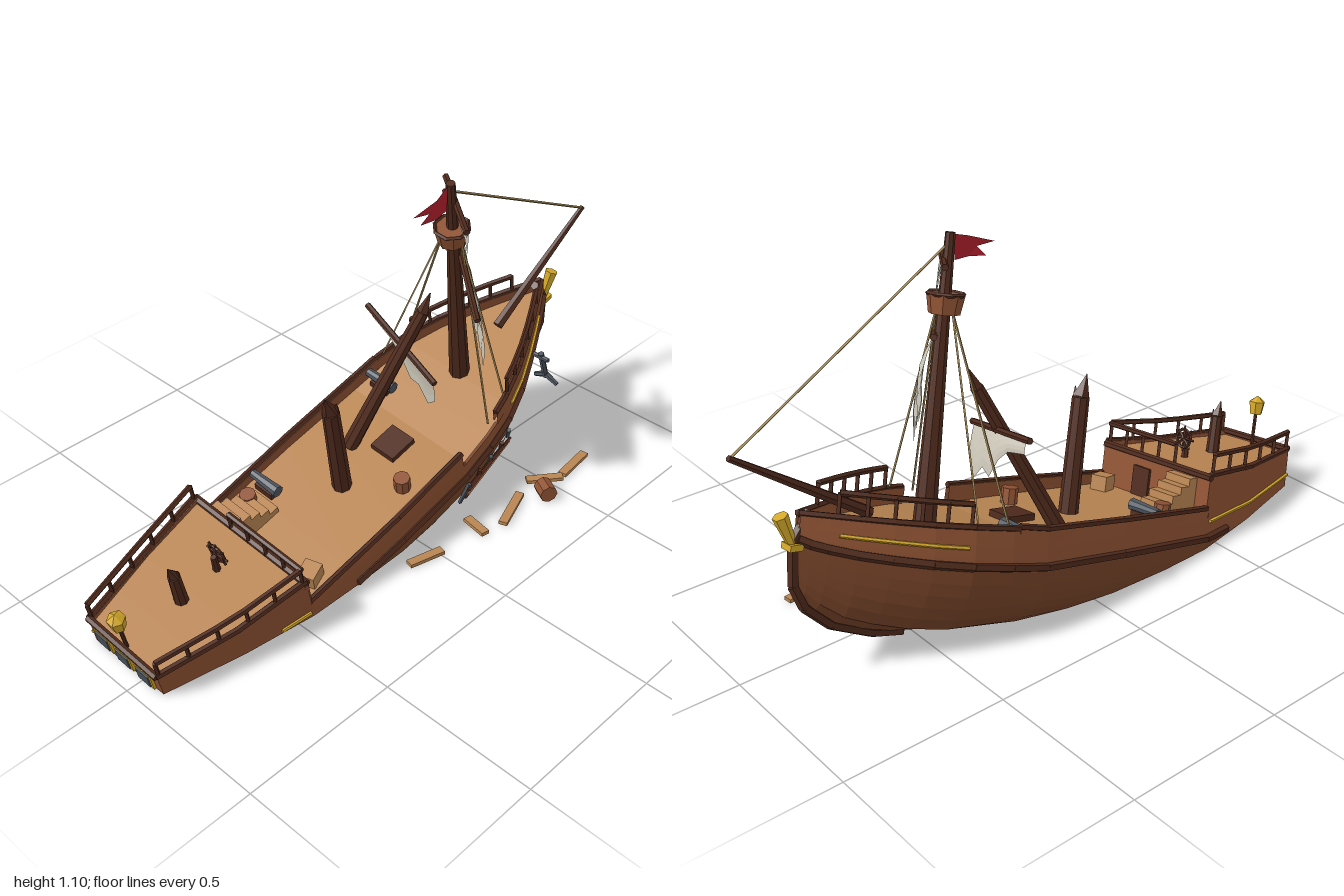
import * as THREE from 'three';

const C = { hull: 0x8f5233, low: 0x764328, dark: 0x4f2a1c, deck: 0xb98552, sail: 0xcfcabb, gold: 0xd4a82a, iron: 0x4c545e, red: 0xb3202e, rope: 0xa88d58 };
const PITCH = 0.245, ROLL = 0.132, ORIGIN = [-0.1, 0.15, -0.074];
const V = (p) => new THREE.Vector3(...p);

const mat = (color) => new THREE.MeshStandardMaterial({ color, flatShading: true, side: THREE.DoubleSide });
function add(parent, name, geo, color, pos = [0, 0, 0], rot = [0, 0, 0]) {
  const m = new THREE.Mesh(geo, mat(color));
  m.name = name;
  m.position.set(...pos);
  m.rotation.set(...rot);
  parent.add(m);
  return m;
}
const box = (parent, name, size, pos, color, rot) => add(parent, name, new THREE.BoxGeometry(...size), color, pos, rot);

// tapered round bar from a to b
function bar(parent, name, a, b, r0, color, r1 = r0, sides = 6) {
  const d = V(b).sub(V(a)), m = add(parent, name, new THREE.CylinderGeometry(r1, r0, d.length(), sides), color);
  m.position.copy(V(a).addScaledVector(d, 0.5));
  m.quaternion.setFromUnitVectors(new THREE.Vector3(0, 1, 0), d.normalize());
}
function path(parent, name, pts, r, color) {
  for (let i = 1; i < pts.length; i++) bar(parent, name, pts[i - 1], pts[i], r, color, r, 5);
}
// surface through rows of points of equal length
function loft(rows, closed = false) {
  const n = rows[0].length, idx = [];
  for (let i = 0; i + 1 < rows.length; i++)
    for (let j = 0; j < (closed ? n : n - 1); j++) {
      const k = (j + 1) % n, a = i * n + j, b = i * n + k;
      idx.push(a, b, a + n, b, b + n, a + n);
    }
  const g = new THREE.BufferGeometry();
  g.setAttribute('position', new THREE.Float32BufferAttribute(rows.flat(2), 3));
  g.setIndex(idx);
  g.computeVertexNormals();
  return g;
}
function curve(table) {
  return (x) => {
    let i = 1;
    while (i < table.length - 1 && x > table[i][0]) i++;
    const [x0, y0] = table[i - 1], [x1, y1] = table[i];
    return y0 + (y1 - y0) * THREE.MathUtils.clamp((x - x0) / (x1 - x0), 0, 1);
  };
}

// hull lines in the ship's own frame: half width, keel and deck height, fullness of the section
const width = curve([[-0.85, 0.147], [-0.6, 0.202], [-0.37, 0.236], [0, 0.244], [0.3, 0.241], [0.5, 0.225], [0.65, 0.175], [0.78, 0.115], [0.88, 0.06], [0.97, 0.01]]);
const keel = curve([[-0.85, -0.2], [-0.37, -0.29], [0.2, -0.28], [0.54, -0.28], [0.7, -0.262], [0.84, -0.215], [0.93, -0.15], [0.97, -0.08]]);
const deckY = curve([[-0.85, 0.085], [-0.6, 0.03], [-0.37, 0], [0.3, 0], [0.55, 0.03], [0.97, 0.07]]);
const fullness = curve([[0.25, 3], [0.8, 1.8]]);
const poopY = curve([[-0.85, 0.15], [-0.37, 0.125]]);
const stations = [-0.85, -0.73, -0.6, -0.48, -0.37, -0.2, 0, 0.15, 0.3, 0.42, 0.54, 0.65, 0.75, 0.83, 0.9, 0.94, 0.97];

const skin = (x, s, t, out = 0) => [x, deckY(x) + (keel(x) - deckY(x)) * t, s * (width(x) * Math.sqrt(Math.max(0, 1 - t ** fullness(x))) * (1 + 0.1 * t) + out)];
const worldY = ([x, y, z]) => ORIGIN[1] + x * Math.sin(PITCH) + Math.cos(PITCH) * (y * Math.cos(ROLL) - z * Math.sin(ROLL));
// how far down the side the hull stays above the ground
function reach(x, s) {
  if (worldY(skin(x, s, 1)) >= 0) return 1;
  let lo = 0, hi = 1;
  for (let i = 0; i < 24; i++) {
    const m = (lo + hi) / 2;
    if (worldY(skin(x, s, m)) > 0) lo = m; else hi = m;
  }
  return lo;
}
const strip = (s, ta, tb, n) => stations.map((x) => {
  const r = reach(x, s), a = Math.min(ta, r), b = Math.min(tb, r);
  return Array.from({ length: n + 1 }, (_, i) => skin(x, s, a + (b - a) * i / n));
});
const span = (a, b) => [a, ...stations.filter((x) => x > a + 0.005 && x < b - 0.005), b];
const across = (xs, y) => loft(xs.map((x) => [-1, 1].map((s) => [x, y(x), s * width(x) * 0.97])));

function buildHull(ship) {
  for (const s of [-1, 1]) {
    add(ship, 'upperHull', loft(strip(s, 0, 0.25, 2)), C.hull);
    add(ship, 'lowerHull', loft(strip(s, 0.25, 1, 6)), C.low);
    // bulwarks, with a gap smashed in one side
    const poop = [-0.85, -0.37, 0.08, 0.142], bow = [s > 0 ? 0.47 : 0.4, 0.97, 0.05, 0.038];
    for (const [a, b, h0, h1] of [poop, [-0.37, s > 0 ? 0.29 : 0.4, 0.035, 0.055], bow]) {
      const xs = span(a, b), h = curve([[a, h0], [b, h1]]);
      add(ship, 'bulwark', loft(xs.map((x) => {
        const y = deckY(x), o = width(x), i = Math.max(0, o - 0.016);
        return [[x, y, s * o], [x, y + h(x), s * o * 0.98], [x, y + h(x), s * i * 0.98], [x, y, s * i]];
      }), true), C.hull);
      path(ship, 'gunwale', xs.map((x) => [x, deckY(x) + h(x), s * Math.max(0, width(x) - 0.008)]), 0.01, C.dark);
    }
    // wale and gilded trim, only where above ground
    const line = (name, xs, t, out, r, color) => path(ship, name, xs.map((x) => skin(x, s, t, out)).filter((p) => worldY(p) > r), r, color);
    line('wale', stations, 0.2, 0, 0.014, C.dark);
    line('trim', span(-0.85, -0.38), 0.02, 0.003, 0.006, C.gold);
    line('trim', span(0.56, 0.88), 0.03, 0.003, 0.006, C.gold);
    // railings at bow and stern
    for (const [a, b, h0, h1] of [[-0.84, -0.38, poop[2], poop[3]], [0.55, 0.88, 0.05, 0.045]]) {
      const top = [];
      for (let i = 0; i <= 5; i++) {
        const x = a + (b - a) * i / 5, y = deckY(x) + h0 + (h1 - h0) * i / 5, z = s * (width(x) - 0.01);
        bar(ship, 'railPost', [x, y - 0.01, z], [x, y + 0.06, z], 0.007, C.dark, 0.007, 4);
        top.push([x, y + 0.06, z]);
      }
      path(ship, 'handrail', top, 0.009, C.dark);
    }
  }
  add(ship, 'bottom', loft(stations.map((x) => [-1, 1].map((s) => skin(x, s, reach(x, s))))), C.dark);
  add(ship, 'mainDeck', across(span(-0.37, 0.97), (x) => deckY(x) + 0.002), C.deck);
  add(ship, 'poopDeck', across(span(-0.85, -0.37), poopY), C.deck);
  path(ship, 'stem', [[0.935, 0.11, 0], [0.98, 0.03, 0], [0.97, -0.09, 0], [0.93, -0.155, 0], [0.84, -0.218, 0], [0.7, -0.263, 0], [0.6, -0.274, 0]], 0.015, C.dark);

  // transom with framed windows
  const side = (s) => [[-0.85, 0.165, s * 0.144], ...Array.from({ length: 6 }, (_, i) => skin(-0.85, s, reach(-0.85, s) * i / 5))];
  add(ship, 'transom', loft([side(-1), side(1)]), C.hull);
  bar(ship, 'transomRail', [-0.85, 0.165, -0.142], [-0.85, 0.165, 0.142], 0.011, C.dark);
  for (const z of [-0.085, 0, 0.085]) {
    box(ship, 'windowFrame', [0.012, 0.068, 0.068], [-0.852, 0.114, z], C.gold);
    box(ship, 'windowPane', [0.016, 0.052, 0.05], [-0.854, 0.114, z], C.iron);
  }

  // cabin front, door and steps
  box(ship, 'cabinFront', [0.015, 0.13, 0.462], [-0.372, 0.063, 0], C.hull);
  box(ship, 'cabinDoor', [0.012, 0.095, 0.07], [-0.362, 0.05, 0.05], C.dark);
  bar(ship, 'poopBeam', [-0.37, 0.132, -0.232], [-0.37, 0.132, 0.232], 0.012, C.dark);
  bar(ship, 'frontRail', [-0.375, 0.2, -0.07], [-0.375, 0.2, 0.226], 0.009, C.dark);
  for (let i = 0; i < 5; i++) bar(ship, 'railPost', [-0.375, 0.13, -0.07 + i * 0.072], [-0.375, 0.2, -0.07 + i * 0.072], 0.007, C.dark, 0.007, 4);
  for (let i = 0; i < 5; i++) box(ship, 'step', [0.034, 0.12 - i * 0.024, 0.1], [-0.347 + i * 0.034, 0.06 - i * 0.012, -0.13], C.deck);
}

// splintered hole low on the side, with broken ribs across it
function buildBreach(ship) {
  const xs = [0.3, 0.36, 0.42, 0.48, 0.53];
  add(ship, 'breach', loft(xs.map((x, i) => [0.38 + 0.04 * (i % 2), 0.5, 0.62 - 0.05 * (i % 2)].map((t) => skin(x, 1, Math.min(t, reach(x, 1)), 0.005)))), C.iron);
  xs.forEach((x, i) => bar(ship, 'brokenRib', skin(x, 1, 0.34, 0.008), skin(x + 0.015 * (i - 2), 1, 0.64, 0.014), 0.008, i % 2 ? C.dark : C.iron, 0.006, 4));
  for (const t of [0.4, 0.5, 0.6]) bar(ship, 'brokenPlank', skin(0.29, 1, t, 0.012), skin(0.51 + t * 0.04, 1, t + 0.02, 0.02), 0.009, t === 0.5 ? C.hull : C.dark, 0.005, 4);
}

function buildFittings(ship) {
  // standing mast and broken stumps
  bar(ship, 'foremast', [0.553, 0, 0], [0.553, 0.84, 0], 0.034, C.dark, 0.014, 8);
  add(ship, 'crowsNest', new THREE.CylinderGeometry(0.054, 0.044, 0.055, 8), C.hull, [0.55, 0.647, 0]);
  add(ship, 'nestRim', new THREE.TorusGeometry(0.052, 0.006, 4, 8), C.dark, [0.55, 0.674, 0], [Math.PI / 2, 0, Math.PI / 8]);
  for (const [x, y, h, r] of [[0, 0, 0.36, 0.031], [-0.635, 0.13, 0.13, 0.022]]) {
    bar(ship, 'brokenMast', [x, y, 0], [x, y + h, 0], r, C.dark, r * 0.85, 8);
    bar(ship, 'splinter', [x, y + h, 0], [x - r * 0.5, y + h + r * 2.2, 0], r * 0.85, C.dark, 0.001, 5);
    bar(ship, 'splinter', [x + r * 0.4, y + h, r * 0.3], [x + r * 0.5, y + h + r, r * 0.4], r * 0.4, C.dark, 0.001, 4);
  }
  // shrouds
  for (const s of [-1, 1]) for (const x of [0.43, 0.53])
    bar(ship, 'shroud', [0.55, 0.63, s * 0.035], [x, deckY(x) + 0.04, s * (width(x) - 0.01)], 0.0035, C.rope, 0.0035, 4);
  // steering wheel
  bar(ship, 'wheelStand', [-0.5, 0.13, 0], [-0.5, 0.195, 0], 0.012, C.dark, 0.009);
  add(ship, 'wheelRim', new THREE.TorusGeometry(0.03, 0.005, 5, 10), C.dark, [-0.485, 0.195, 0], [0, Math.PI / 2, 0]);
  for (let i = 0; i < 4; i++) {
    const c = 0.042 * Math.cos(i * Math.PI / 4), d = 0.042 * Math.sin(i * Math.PI / 4);
    bar(ship, 'wheelSpoke', [-0.485, 0.195 - c, -d], [-0.485, 0.195 + c, d], 0.004, C.dark, 0.004, 4);
  }
  // stern lantern
  bar(ship, 'lanternPost', [-0.835, 0.145, 0], [-0.835, 0.26, 0], 0.006, C.dark);
  add(ship, 'lantern', new THREE.CylinderGeometry(0.027, 0.021, 0.042, 6), C.gold, [-0.835, 0.275, 0]);
  add(ship, 'lanternCap', new THREE.ConeGeometry(0.027, 0.02, 6), C.gold, [-0.835, 0.306, 0]);
  // figurehead
  bar(ship, 'figurehead', [0.985, 0.03, 0], [1.025, 0.105, 0], 0.014, C.gold, 0.022);
  box(ship, 'figureheadBase', [0.04, 0.018, 0.045], [0.98, 0.02, 0], C.gold);
  // deck clutter
  box(ship, 'hatch', [0.1, 0.02, 0.09], [0.21, 0.012, 0.02], C.dark);
  box(ship, 'crate', [0.06, 0.05, 0.055], [-0.3, 0.026, 0.16], C.deck, [0, 0.3, 0]);
  for (const [x, z] of [[0.11, 0.15], [-0.23, -0.17]]) add(ship, 'barrel', new THREE.CylinderGeometry(0.026, 0.026, 0.05, 8), C.hull, [x, 0.027, z]);
  for (const x of [-0.16, 0.36]) {
    box(ship, 'cannonCarriage', [0.04, 0.025, 0.07], [x, 0.016, -0.16], C.dark);
    bar(ship, 'cannon', [x, 0.04, -0.11], [x, 0.04, -0.22], 0.02, C.iron, 0.014, 8);
  }
}

// torn cloth hanging from a spar; drops gives the ragged lower edge
function sail(root, a, b, drops, belly) {
  const A = V(a), B = V(b), down = new THREE.Vector3(0.24, -0.96, -0.1);
  const out = down.clone().cross(B.clone().sub(A)).normalize();
  if (out.x < 0) out.negate();
  const rows = drops.map((len, i) => [0, 1, 2, 3, 4].map((j) => {
    const v = j / 4, u = 0.04 + 0.92 * i / (drops.length - 1);
    return A.clone().lerp(B, u).addScaledVector(down, len * v).addScaledVector(out, belly * Math.sin(v * 2.4) * (0.5 + Math.sin(u * Math.PI) / 2)).toArray();
  }));
  add(root, 'tornSail', loft(rows), C.sail);
  bar(root, 'yard', a, b, 0.01, C.dark);
}

function buildRigging(root) {
  sail(root, [0.18, 0.735, 0.2], [0.45, 0.915, -0.17], [0.21, 0.27, 0.24, 0.28, 0.25, 0.31, 0.28, 0.24, 0.28, 0.16, 0.23, 0.2, 0.17], 0.035);
  sail(root, [0.19, 0.992, 0.14], [0.33, 1.043, -0.065], [0.05, 0.12, 0.08, 0.1, 0.07, 0.04, 0.015, 0.002, 0.001], 0.01);
  sail(root, [0.14, 0.48, 0.08], [0.21, 0.575, -0.265], [0.1, 0.16, 0.12, 0.14, 0.08, 0.05, 0.045, 0.04], 0.01);
  bar(root, 'fallenMast', [0.02, 0.19, -0.16], [0.21, 0.65, -0.035], 0.027, C.dark, 0.02, 8);
  bar(root, 'splinter', [0.21, 0.65, -0.035], [0.23, 0.71, -0.025], 0.02, C.dark, 0.002, 5);
  bar(root, 'bowsprit', [0.6, 0.41, -0.06], [0.987, 0.7, -0.042], 0.018, C.dark, 0.009);
  bar(root, 'forestay', [0.98, 0.7, -0.042], [0.25, 1.06, 0.035], 0.004, C.rope, 0.004, 4);
  // swallow-tailed flag
  add(root, 'flag', loft([[0.225, 1.085, 1.045, 1.01, 0.035], [0.17, 1.065, 1.035, 1.005, 0.045]].map(([x, ...r]) => r.slice(0, 3).map((y) => [x, y, r[3]]))
    .concat([[[0.09, 1.035, 0.03], [0.145, 1.03, 0.04], [0.12, 1.0, 0.03]]])), C.red);
  // anchor
  bar(root, 'anchorShank', [0.655, 0.34, 0.08], [0.69, 0.235, 0.08], 0.01, C.iron);
  bar(root, 'anchorStock', [0.657, 0.325, 0.05], [0.657, 0.325, 0.11], 0.008, C.iron);
  for (const z of [0.035, 0.125]) bar(root, 'anchorArm', [0.688, 0.245, 0.08], [0.695, 0.22, z], 0.011, C.iron, 0.008);
}

// loose timber and a barrel on the ground
function buildDebris(root) {
  for (const [x, z, len, a] of [[-0.045, 0.225, 0.12, -0.25], [0.17, 0.24, 0.09, 1.4], [0.31, 0.265, 0.16, 0.35], [0.5, 0.245, 0.12, -0.65], [0.625, 0.265, 0.14, 0.12]])
    box(root, 'loosePlank', [len, 0.012, 0.028], [x, 0.007, z], C.deck, [0, a, 0]);
  add(root, 'looseBarrel', new THREE.CylinderGeometry(0.029, 0.029, 0.055, 8), C.hull, [0.435, 0.03, 0.3], [Math.PI / 2, 0, 0.5]);
}

export function createModel() {
  const root = new THREE.Group();
  root.name = 'shipwreck';
  const ship = new THREE.Group();
  ship.name = 'ship';
  ship.position.set(...ORIGIN);
  ship.rotation.set(ROLL, 0, PITCH, 'ZYX');
  root.add(ship);
  buildHull(ship);
  buildBreach(ship);
  buildFittings(ship);
  buildRigging(root);
  buildDebris(root);
  return root;
}
